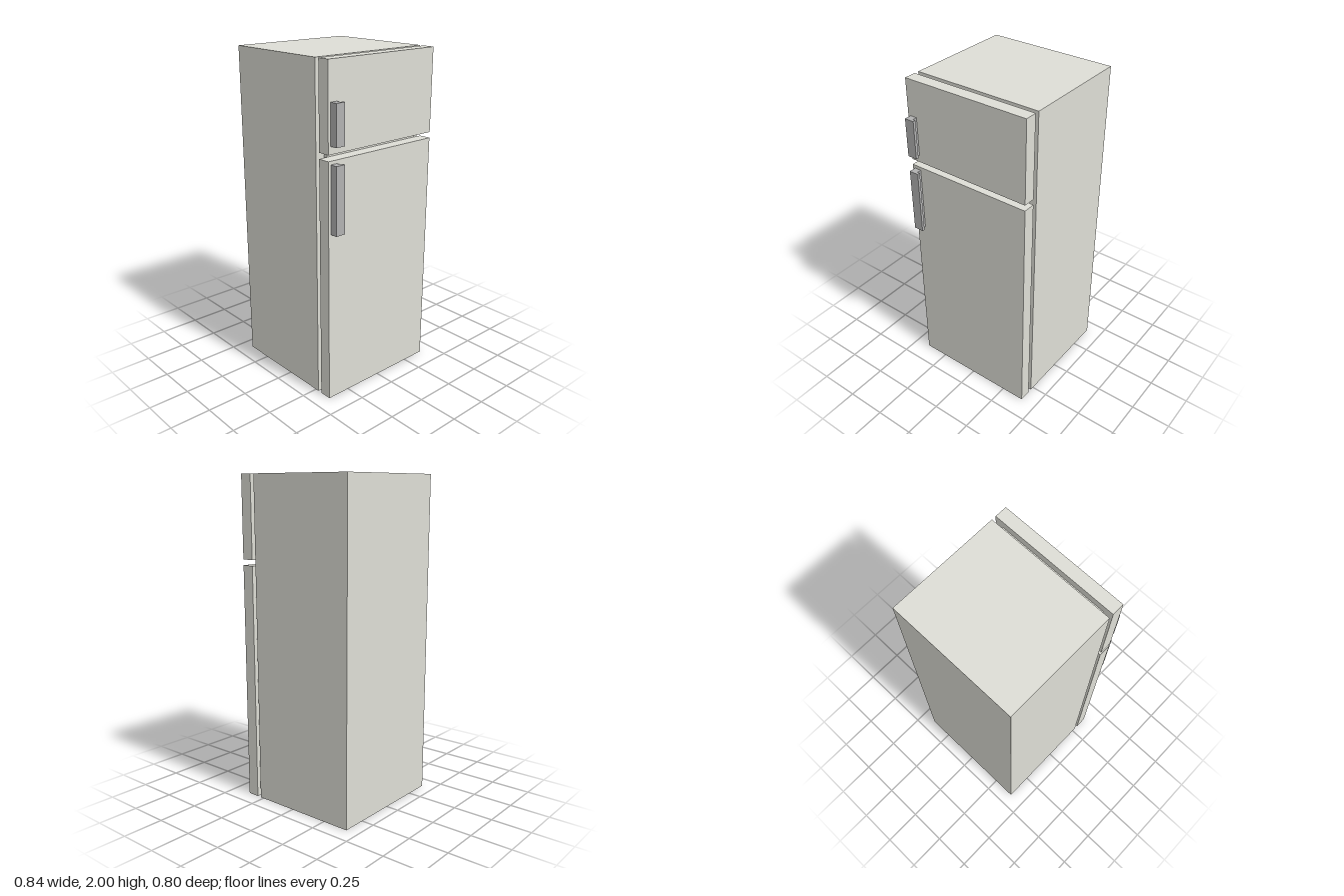
import * as THREE from 'three';

const enamel = new THREE.MeshStandardMaterial({ color: 0xdeded6 });
const metal = new THREE.MeshStandardMaterial({ color: 0xb2b2b2 });

// Box given by its limits on each axis
function block(name, [x0, x1], [y0, y1], [z0, z1]) {
  const mesh = new THREE.Mesh(new THREE.BoxGeometry(x1 - x0, y1 - y0, z1 - z0), enamel);
  mesh.position.set((x0 + x1) / 2, (y0 + y1) / 2, (z0 + z1) / 2);
  mesh.name = name;
  return mesh;
}

// L-section grip, extruded upwards from y0 to y1
function handle(name, y0, y1) {
  const section = [
    [0.375, 0.383], [0.42, 0.383], [0.42, 0.322],
    [0.403, 0.322], [0.403, 0.34], [0.375, 0.34],
  ];
  const shape = new THREE.Shape(section.map(([x, z]) => new THREE.Vector2(x, -z)));
  const geometry = new THREE.ExtrudeGeometry(shape, { depth: y1 - y0, bevelEnabled: false });
  geometry.rotateX(-Math.PI / 2);
  const mesh = new THREE.Mesh(geometry, metal);
  mesh.position.y = y0;
  mesh.name = name;
  return mesh;
}

export function createModel() {
  const fridge = new THREE.Group();
  fridge.name = 'refrigerator';
  const width = [-0.4, 0.4];

  // Cabinet and the recessed seal the doors close on
  fridge.add(block('cabinet', [-0.42, 0.273], [0, 2], width));
  fridge.add(block('doorSeal', [0.273, 0.3], [0, 1.95], [-0.346, 0.343]));

  // Doors, opening on the +x side
  fridge.add(block('fridgeDoor', [0.3, 0.375], [0, 1.465], width));
  fridge.add(block('freezerDoor', [0.3, 0.375], [1.5, 2], width));

  // Handles
  fridge.add(handle('fridgeHandle', 1.047, 1.445));
  fridge.add(handle('freezerHandle', 1.545, 1.78));

  return fridge;
}
